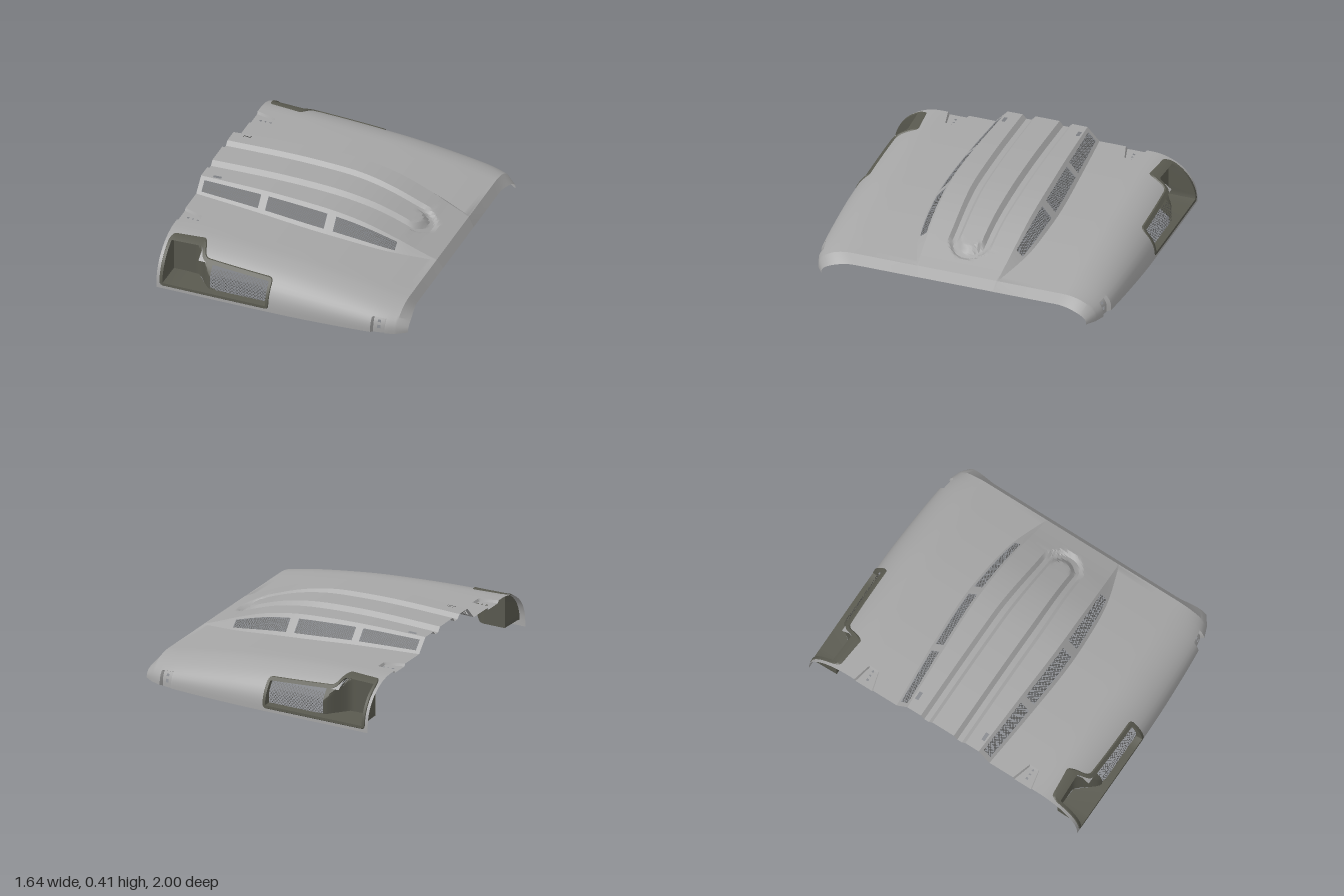
import * as THREE from 'three';
import { toCreasedNormals } from 'three/addons/utils/BufferGeometryUtils.js';

const mat = (name, color) => {
  const m = new THREE.MeshStandardMaterial({ color, side: THREE.DoubleSide });
  m.name = name;
  return m;
};
const lerp = THREE.MathUtils.lerp;
const smooth = THREE.MathUtils.smoothstep;

// Smooth curve through a few [x, value] keys
function curve(keys) {
  const slope = keys.map((k, i) => {
    const a = keys[Math.max(i - 1, 0)], b = keys[Math.min(i + 1, keys.length - 1)];
    return (b[1] - a[1]) / (b[0] - a[0]);
  });
  return (x) => {
    let i = 0;
    while (i < keys.length - 2 && x > keys[i + 1][0]) i++;
    const [x0, y0] = keys[i], [x1, y1] = keys[i + 1], h = x1 - x0;
    const t = Math.min(Math.max((x - x0) / h, 0), 1), t2 = t * t, t3 = t2 * t;
    return (2 * t3 - 3 * t2 + 1) * y0 + (t3 - 2 * t2 + t) * h * slope[0 + i]
      + (3 * t2 - 2 * t3) * y1 + (t3 - t2) * h * slope[i + 1];
  };
}

// Surface of nu x nv points; cells for which skip() holds are left open
function grid(nu, nv, fn, skip = () => false) {
  const pos = [], idx = [];
  for (let i = 0; i < nu; i++) for (let j = 0; j < nv; j++) pos.push(...fn(i, j));
  for (let i = 0; i < nu - 1; i++) for (let j = 0; j < nv - 1; j++) {
    if (skip(i, j)) continue;
    const a = i * nv + j, b = a + nv;
    idx.push(a, a + 1, b, b, a + 1, b + 1);
  }
  const g = new THREE.BufferGeometry();
  g.setAttribute('position', new THREE.Float32BufferAttribute(pos, 3));
  g.setIndex(idx);
  return toCreasedNormals(g, 0.5);
}

// Curves along the length of the panel
const baseY = curve([[-0.82, 0.307], [-0.4, 0.295], [0, 0.268], [0.2, 0.248], [0.5, 0.206], [0.76, 0.16]]);
const humpY = curve([[-0.82, 0.393], [-0.4, 0.402], [-0.1, 0.395], [0.1, 0.378], [0.3, 0.337], [0.5, 0.268], [0.65, 0.205], [0.76, 0.161]]);
const humpTop = curve([[-0.82, 0.265], [-0.4, 0.285], [0, 0.3], [0.3, 0.295], [0.5, 0.285], [0.76, 0.266]]);
const humpFoot = curve([[-0.82, 0.345], [-0.4, 0.38], [0, 0.4], [0.3, 0.385], [0.5, 0.355], [0.76, 0.27]]);
const halfWidth = curve([[-0.82, 0.995], [0, 0.995], [0.3, 0.984], [0.6, 0.962], [0.69, 0.945], [0.76, 0.92]]);
const taper = (x) => 1 - 0.12 * smooth(x, 0, 0.5);

// Rounded skirt: f runs from 0 at the lower edge to 1 at the shoulder
function skirtZ(x, f) {
  const s = Math.min(Math.max((f - 0.13) / 0.87, 0), 1);
  return 0.7 + (halfWidth(x) - 0.7) * Math.sqrt(1 - s * s);
}
const skirtAt = (x, y) => skirtZ(x, (y - 0.01) / (baseY(x) - 0.01));

// Height of the hump top with the central dome and the groove around it
function domeY(x, z) {
  const q = Math.hypot(Math.max(x - 0.485, 0), z / taper(x));
  const g = q > 0.165 ? 0 : q > 0.14 ? -0.026 * (0.165 - q) / 0.025
    : q > 0.105 ? -0.026 : q > 0.08 ? lerp(0.004, -0.026, (q - 0.08) / 0.025) : 0.004;
  return humpY(x) + g;
}
function humpSide(x, t) {
  return [lerp(humpTop(x), humpFoot(x), t), lerp(humpY(x), baseY(x), t)];
}

// Cross-section rows from the centre outwards; each gives [z, y] at x
const rows = [];
const addRow = (kind, key, at) => rows.push({ kind, key, at });
for (const z of [0, 0.03, 0.06, 0.08, 0.105, 0.12, 0.14, 0.165])
  addRow('dome', z, (x) => [z * taper(x), domeY(x, z * taper(x))]);
for (const z of [0.235, 0.258]) addRow('top', z, (x) => [z, humpY(x)]);
for (const t of [0, 0.1, 0.2, 0.5, 0.82, 0.92, 1]) addRow('side', t, (x) => humpSide(x, t));
for (const k of [0, 0.07, 0.43, 0.57, 0.93, 1]) addRow('tab', k, (x) => {
  const t = Math.min((x + 0.82) / 0.13, 1);
  const sunk = k > 0 && k < 1 && x < -0.695;
  return [lerp(lerp(0.52, 0.56, t), lerp(0.66, 0.63, t), k), baseY(x) - (sunk ? 0.016 : 0)];
});
for (const f of [1, 0.993, 0.98, 0.95, 0.91, 0.86, 0.8, 0.72, 0.64, 0.56, 0.51, 0.43, 0.35, 0.25, 0.12, 0])
  addRow('skirt', f, (x) => {
    const bracket = f < 0.53 && x > 0.605 && x < 0.685;
    const y = bracket && f === 0 ? 0 : 0.01 + f * (baseY(x) - 0.01);
    return [skirtZ(x, f) - (bracket ? 0.025 : 0), y];
  });

// Columns: even spacing plus the edges of every opening
const vents = [[-0.79, -0.4], [-0.35, 0.05], [0.11, 0.51]];
const keyX = [-0.82, -0.78, -0.765, -0.745, -0.735, -0.715, -0.7, -0.69, -0.57, -0.09,
  0.6, 0.61, 0.635, 0.655, 0.68, 0.69, 0.76, ...vents.flat()];
const cols = [...keyX];
for (let x = -0.805; x < 0.75; x += 0.016)
  if (keyX.every((k) => Math.abs(k - x) > 0.006)) cols.push(x);
cols.sort((a, b) => a - b);

const within = (v, a, b) => v > a && v < b;
function isOpen(x, inner, outer) {
  const k = (inner.key + outer.key) / 2;
  if (inner.kind !== outer.kind) return false;
  if (inner.kind === 'side') return within(k, 0.2, 0.82) && vents.some(([a, b]) => within(x, a, b));
  if (inner.kind === 'top') return within(x, -0.745, -0.69);
  if (inner.kind === 'tab') return within(k, 0.43, 0.57)
    && (within(x, -0.78, -0.765) || within(x, -0.745, -0.735) || within(x, -0.715, -0.7));
  if (inner.kind === 'skirt') {
    if (within(x, 0.635, 0.655)) return within(k, 0.12, 0.25) || within(k, 0.35, 0.43);
    return within(k, 0.12, 0.72) && within(x, -0.78, -0.09) || within(k, 0.7, 0.91) && within(x, -0.78, -0.57);
  }
  return false;
}

// Panel with its turned-down front lip as the last column
function panelGeometry() {
  const n = rows.length - 1;
  return grid(cols.length + 1, 2 * n + 1, (i, j) => {
    const side = Math.sign(j - n), x = cols[Math.min(i, cols.length - 1)];
    let [z, y] = rows[Math.abs(j - n)].at(x);
    if (i < cols.length) return [x, y, side * z];
    y = 0.01 + (y - 0.01) * 0.6;
    return [0.797 + 0.023 * smooth(z, 0.7, 0.9), y, side * z * 0.955];
  }, (i, j) => {
    if (i >= cols.length - 1) return false;
    const a = Math.abs(j - n), b = Math.abs(j + 1 - n);
    return isOpen((cols[i] + cols[i + 1]) / 2, rows[Math.min(a, b)], rows[Math.max(a, b)]);
  });
}

// Crossed diagonal strips filling u0..u1 by a height h; at(u, v) places them, v in 0..1
function latticeGeometry(u0, u1, h, pitch, at) {
  const pos = [], w = 0.0014, steps = 4;
  for (const dir of [1, -1]) for (let c = u0 - h; c < u1; c += pitch) {
    const a = Math.max(c, u0), b = Math.min(c + h, u1);
    const edge = (k, o) => {
      const u = lerp(a, b, k / steps), v = (u - c) / h;
      return at(Math.min(Math.max(u + o, u0), u1), dir > 0 ? v : 1 - v);
    };
    for (let k = 0; k < steps; k++) {
      const p = edge(k, -w), q = edge(k, w), r = edge(k + 1, -w), s = edge(k + 1, w);
      pos.push(...p, ...q, ...r, ...r, ...q, ...s);
    }
  }
  const g = new THREE.BufferGeometry();
  g.setAttribute('position', new THREE.Float32BufferAttribute(pos, 3));
  g.computeVertexNormals();
  return g;
}

// Rounded outline of the side pocket, with inward normals
function pocketOutline() {
  const c = [[-0.8, 0.03], [-0.07, 0.03], [-0.07, 0.212], [-0.53, 0.24], [-0.56, 0.295], [-0.8, 0.295]]
    .map((p) => new THREE.Vector2(...p));
  const pts = [];
  c.forEach((p, i) => {
    const prev = c[(i + 5) % 6], next = c[(i + 1) % 6], r = 0.029;
    const a = prev.clone().sub(p).setLength(r).add(p), b = next.clone().sub(p).setLength(r).add(p);
    pts.push(...new THREE.QuadraticBezierCurve(a, p, b).getPoints(6));
    const end = p.clone().sub(next).setLength(r).add(next);
    for (let k = 1; k < 8; k++) pts.push(b.clone().lerp(end, k / 8));
  });
  return pts.map((p, i) => {
    const t = pts[(i + 1) % pts.length].clone().sub(pts[(i + pts.length - 1) % pts.length]).normalize();
    return { p, n: new THREE.Vector2(-t.y, t.x) };
  });
}
const pocketFloor = (x, y) => Math.min(lerp(0.82, 0.955, smooth(x, -0.62, -0.47)), skirtAt(x, y) - 0.02);

export function createModel() {
  const body = mat('body grey', 0xa6a6a6);
  const trim = mat('dark trim', 0x59594f);
  const wire = mat('mesh grey', 0x50504e);
  const model = new THREE.Group();
  const add = (name, geometry, material) => {
    const m = new THREE.Mesh(geometry, material);
    m.name = name;
    model.add(m);
  };
  add('hoodPanel', panelGeometry(), body);

  const outline = pocketOutline();
  const rings = [[0, 0], [0.004, 0.005], [0.021, 0.004], [0.026, null]];
  for (const [s, label] of [[1, 'left'], [-1, 'right']]) {
    // Pocket rim and walls
    add(label + 'PocketRim', grid(rings.length, outline.length + 1, (i, j) => {
      const { p, n } = outline[j % outline.length], [d, lift] = rings[i];
      const x = p.x + n.x * d, y = p.y + n.y * d;
      if (lift === null) return [x, y, s * pocketFloor(x, y)];
      return [x, y + lift * smooth(y, 0.1, 0.28), s * (skirtAt(x, y) + lift)];
    }), trim);
    // Scooped pocket floor, rising towards the mesh window
    add(label + 'PocketFloor', grid(21, 13, (i, j) => {
      const x = lerp(-0.776, -0.478, i / 20);
      const y = lerp(0.053, lerp(0.271, 0.212, smooth(x, -0.59, -0.545)), j / 12);
      return [x, y, s * pocketFloor(x, y)];
    }), trim);
    add(label + 'PocketMesh', latticeGeometry(-0.48, -0.096, 0.137, 0.022, (u, v) => {
      const y = lerp(0.053, 0.19, v);
      return [u, y, s * pocketFloor(u, y)];
    }), wire);
    // Vent meshes in the hump flank
    vents.forEach(([a, b], i) => add(label + 'VentMesh' + (i + 1),
      latticeGeometry(a, b, 0.07, 0.014, (u, v) => {
        const [z, y] = humpSide(u, lerp(0.2, 0.82, v));
        return [u, y - 0.003, s * (z - 0.003)];
      }), wire));
  }
  return model;
}
